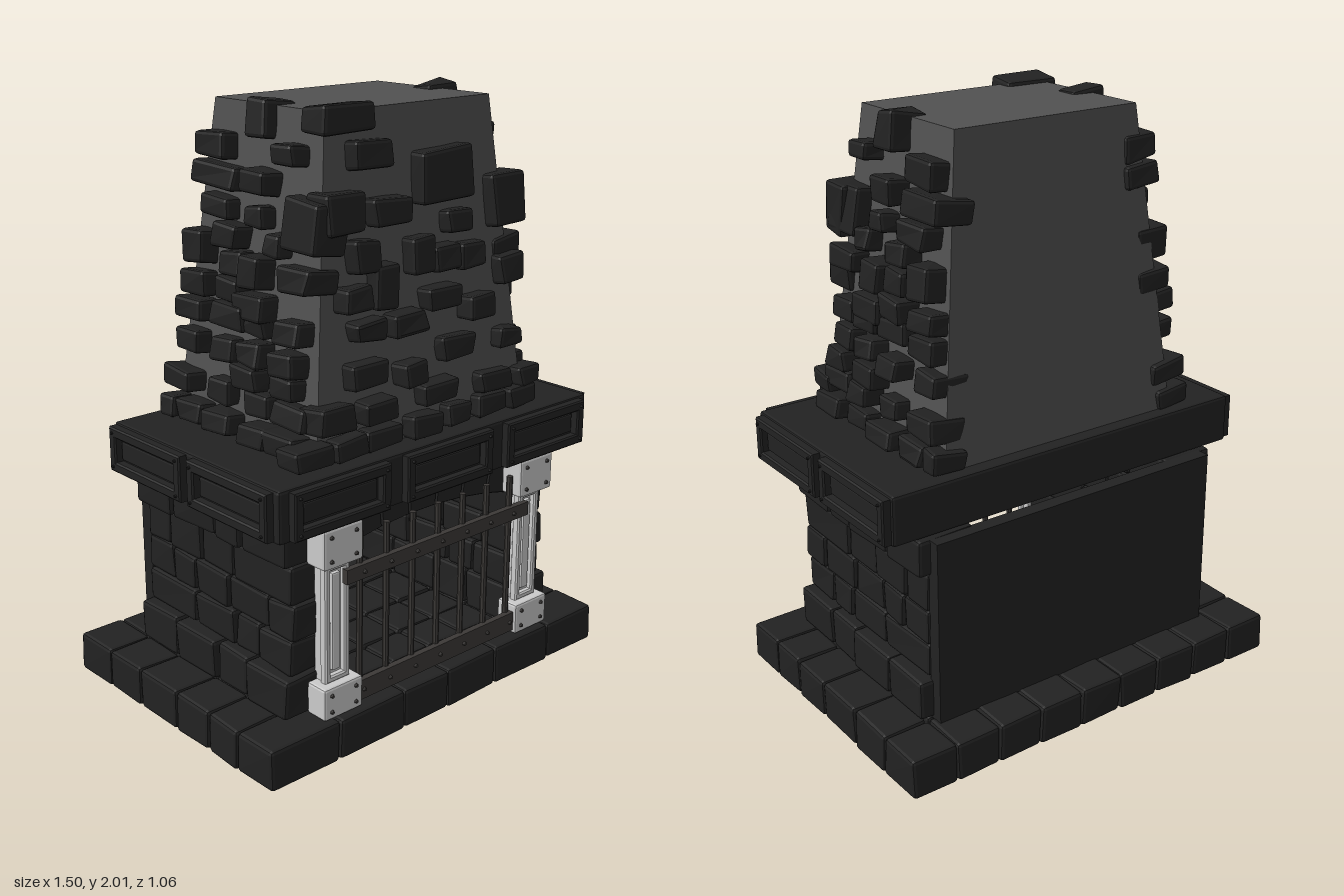
import * as THREE from 'three';
import { RoundedBoxGeometry } from 'three/addons/geometries/RoundedBoxGeometry.js';

const paint = (color) => new THREE.MeshStandardMaterial({ color, flatShading: true });
const stoneMat = paint(0x222222), coreMat = paint(0x515151), ironMat = paint(0x3c3937), steelMat = paint(0xcccccc);

let seed = 7;
const rand = () => (seed = (seed * 16807) % 2147483647) / 2147483647;
const jitter = (a) => (rand() - 0.5) * 2 * a;

function add(parent, name, geo, mat, x = 0, y = 0, z = 0) {
  const mesh = new THREE.Mesh(geo, mat);
  mesh.name = name;
  mesh.position.set(x, y, z);
  parent.add(mesh);
  return mesh;
}

function group(parent, name) {
  const g = new THREE.Group();
  g.name = name;
  parent.add(g);
  return g;
}

// Chamfered block whose eight corners are each nudged a little
function stoneGeo(w, h, d, wobble = 0.006, r = 0.012) {
  const geo = new RoundedBoxGeometry(w, h, d, 1, r);
  const nudge = Array.from({ length: 8 }, () => [jitter(wobble), jitter(wobble), jitter(wobble)]);
  const p = geo.attributes.position;
  for (let i = 0; i < p.count; i++) {
    const n = nudge[(p.getX(i) > 0 ? 1 : 0) + (p.getY(i) > 0 ? 2 : 0) + (p.getZ(i) > 0 ? 4 : 0)];
    p.setXYZ(i, p.getX(i) + n[0], p.getY(i) + n[1], p.getZ(i) + n[2]);
  }
  geo.computeVertexNormals();
  return geo;
}

// Stone filling the space between two corners, with a narrow joint
function stoneBetween(parent, name, x0, x1, y0, y1, z0, z1, wobble = 0.003) {
  const g = 0.003;
  add(parent, name, stoneGeo(x1 - x0 - g, y1 - y0 - g, z1 - z0 - g, wobble),
    stoneMat, (x0 + x1) / 2, (y0 + y1) / 2, (z0 + z1) / 2);
}

// Rectangular frame facing +z
function frameGeo(w, h, border, depth) {
  const rect = (s, a, b) => s.moveTo(-a, -b).lineTo(a, -b).lineTo(a, b).lineTo(-a, b).closePath();
  const shape = rect(new THREE.Shape(), w / 2, h / 2);
  shape.holes.push(rect(new THREE.Path(), w / 2 - border, h / 2 - border));
  const bevel = 0.005;
  return new THREE.ExtrudeGeometry(shape, { depth: depth - bevel, bevelThickness: bevel, bevelSize: bevel, bevelOffset: -bevel, bevelSegments: 1 });
}

function rivet(parent, x, y, z, mat, r = 0.008) {
  add(parent, 'rivet', new THREE.CylinderGeometry(r * 0.6, r, 0.01, 8).rotateX(Math.PI / 2), mat, x, y, z);
}

function buildBase(parent) {
  const base = group(parent, 'hearthBase');
  const zs = [-0.527, -0.35, -0.17, 0.03, 0.2, 0.35, 0.52];
  const frontXs = [-0.75, -0.47, -0.19, 0.01, 0.24, 0.51, 0.75];
  for (let r = 0; r < 6; r++) {
    const xs = r === 5 ? frontXs : Array.from({ length: 10 }, (_, i) => -0.75 + i / 6);
    for (let i = 0; i < xs.length - 1; i++)
      stoneBetween(base, 'baseStone', xs[i], xs[i + 1], 0, 0.14, zs[r], zs[r + 1]);
  }
}

function buildFirebox(parent) {
  const box = group(parent, 'firebox');
  const ys = [0.14, 0.28, 0.4, 0.52, 0.65, 0.78];
  const joints = [
    [0.42, 0.215, 0.06, -0.16, -0.36], [0.41, 0.245, 0.12, -0.085, -0.35],
    [0.42, 0.29, 0.095, -0.08, -0.205, -0.35], [0.41, 0.12, -0.045, -0.22, -0.35],
    [0.42, 0.2, 0.07, -0.16, -0.36],
  ];
  // Side walls in staggered courses
  for (const s of [-1, 1]) joints.forEach((zs, row) => {
    for (let i = 0; i < zs.length - 1; i++) {
      const outer = (row === 0 || row === 4 ? 0.605 : 0.572) + jitter(0.006), xs = [s * 0.4, s * outer];
      stoneBetween(box, 'wallStone', Math.min(...xs), Math.max(...xs), ys[row], ys[row + 1], zs[i + 1] + 0.002, zs[i] - 0.002, 0.004);
    }
  });
  add(box, 'backWall', new THREE.BoxGeometry(1.12, 0.64, 0.05), stoneMat, 0, 0.455, -0.37);
  // Shallow arch of wedge stones over the opening
  const arc = (x) => 0.68 - 0.3 * x * x;
  for (let i = 0; i < 7; i++) {
    const a = -0.42 + i * 0.12, b = a + 0.117;
    const shape = new THREE.Shape().moveTo(a, arc(a)).lineTo(b, arc(b)).lineTo(b * 1.08, 0.78).lineTo(a * 1.08, 0.78).closePath();
    add(box, 'archStone', new THREE.ExtrudeGeometry(shape, { depth: 0.1, bevelSize: 0.004, bevelOffset: -0.004, bevelThickness: 0.006, bevelSegments: 1 }), stoneMat, 0, 0, 0.29);
  }
}

function buildColumns(parent) {
  for (const s of [-1, 1]) {
    const col = group(parent, s > 0 ? 'leftColumn' : 'rightColumn');
    col.position.x = s * 0.438;
    add(col, 'shaft', new THREE.BoxGeometry(0.085, 0.42, 0.04), steelMat, 0, 0.45, 0.43);
    add(col, 'shaftFrame', frameGeo(0.1, 0.4, 0.022, 0.025), steelMat, 0, 0.45, 0.445);
    add(col, 'shaftRib', new RoundedBoxGeometry(0.034, 0.33, 0.02, 1, 0.005), steelMat, 0, 0.45, 0.453);
    for (const [y, h] of [[0.715, 0.13], [0.197, 0.108]]) {
      add(col, 'columnCap', new RoundedBoxGeometry(0.158, h, 0.085, 1, 0.008), steelMat, 0, y, 0.455);
      for (const dx of [-0.05, 0.05]) for (const dy of [-1, 1])
        rivet(col, dx, y + dy * (h / 2 - 0.026), 0.5, ironMat);
    }
  }
}

function buildGrate(parent) {
  const grate = group(parent, 'fireGrate');
  for (let i = -3; i <= 3; i++) {
    const x = i * 0.114;
    add(grate, 'grateBar', new THREE.CylinderGeometry(0.011, 0.011, 0.57, 8), ironMat, x, 0.44, 0.462);
    rivet(grate, x, 0.597, 0.489, ironMat);
    rivet(grate, x, 0.19, 0.489, ironMat);
  }
  add(grate, 'upperRail', new THREE.BoxGeometry(0.83, 0.048, 0.022), ironMat, 0, 0.597, 0.475);
  add(grate, 'lowerRail', new THREE.BoxGeometry(0.74, 0.068, 0.022), ironMat, 0, 0.19, 0.475);
}

function buildMantel(parent) {
  const mantel = group(parent, 'mantel');
  add(mantel, 'mantelSlab', new RoundedBoxGeometry(1.37, 0.168, 0.84, 1, 0.01), stoneMat, 0, 0.866, 0.073);
  const panel = (w, x, z, turn) => {
    const g = group(mantel, 'mantelPanel');
    g.position.set(x, 0.866, z);
    g.rotation.y = turn;
    add(g, 'panelFrame', frameGeo(w, 0.152, 0.034, 0.032), stoneMat);
    add(g, 'panelField', new RoundedBoxGeometry(w - 0.09, 0.066, 0.03, 1, 0.006), stoneMat);
    for (const dx of [-1, 1]) for (const dy of [-1, 1])
      rivet(g, dx * (w / 2 - 0.02), dy * 0.058, 0.034, stoneMat, 0.006);
  };
  for (const x of [-0.455, 0, 0.455]) panel(0.385, x, 0.49, 0);
  for (const s of [-1, 1]) for (const z of [-0.145, 0.275]) panel(0.385, s * 0.683, z, s * Math.PI / 2);
}

// Stones on the chimney: [across, height, width, tall]
const frontStones = [
  [[-0.29, 1.957, 0.2, 0.085], [-0.205, 1.845, 0.145, 0.085], [0.1, 1.755, 0.22, 0.165], [-0.33, 1.69, 0.15, 0.12]],
  [[-0.14, 1.67, 0.145, 0.085], [0.38, 1.645, 0.15, 0.17], [0.155, 1.605, 0.11, 0.075], [-0.02, 1.525, 0.09, 0.12]],
  [[0.09, 1.5, 0.11, 0.08], [0.215, 1.49, 0.1, 0.085], [-0.245, 1.55, 0.105, 0.1], [-0.3, 1.43, 0.11, 0.08]],
  [[-0.175, 1.45, 0.09, 0.14], [0.065, 1.38, 0.145, 0.07], [0.385, 1.42, 0.1, 0.1], [-0.25, 1.33, 0.12, 0.065]],
  [[-0.095, 1.325, 0.14, 0.08], [0.225, 1.325, 0.115, 0.08], [-0.265, 1.195, 0.14, 0.08], [-0.08, 1.165, 0.105, 0.075]],
  [[0.13, 1.205, 0.14, 0.08], [0.37, 1.195, 0.1, 0.065], [-0.415, 1.085, 0.14, 0.085], [-0.23, 1.08, 0.13, 0.075]],
  [[0.035, 1.08, 0.15, 0.075], [0.3, 1.06, 0.15, 0.075], [0.455, 1.05, 0.1, 0.06]],
].flat();
const sideStones = [
  [[0.065, 1.937, 0.09, 0.12], [0.215, 1.85, 0.1, 0.06], [-0.125, 1.84, 0.15, 0.085], [0.065, 1.755, 0.11, 0.08]],
  [[-0.155, 1.745, 0.21, 0.075], [-0.12, 1.655, 0.14, 0.07], [0.09, 1.65, 0.08, 0.065], [0.3, 1.65, 0.16, 0.16]],
  [[0.18, 1.575, 0.08, 0.075], [-0.03, 1.575, 0.11, 0.075], [0.29, 1.49, 0.15, 0.075], [0.09, 1.48, 0.1, 0.1]],
  [[-0.03, 1.49, 0.11, 0.08], [-0.17, 1.52, 0.11, 0.11], [0.115, 1.375, 0.15, 0.08], [-0.03, 1.405, 0.11, 0.08]],
  [[-0.185, 1.4, 0.13, 0.075], [0.265, 1.33, 0.12, 0.075], [0.12, 1.32, 0.13, 0.065], [-0.02, 1.33, 0.16, 0.075]],
  [[-0.19, 1.32, 0.13, 0.075], [0.26, 1.235, 0.12, 0.075], [0.12, 1.235, 0.11, 0.075], [-0.03, 1.215, 0.11, 0.075]],
  [[-0.215, 1.215, 0.11, 0.075], [0.115, 1.15, 0.13, 0.075], [0.28, 1.16, 0.11, 0.07], [-0.03, 1.08, 0.1, 0.075]],
  [[0.295, 1.08, 0.15, 0.075], [0.13, 1.08, 0.11, 0.075], [-0.22, 1.08, 0.14, 0.075]],
].flat();

function buildChimney(parent) {
  const chimney = group(parent, 'chimney');
  const y0 = 0.94, y1 = 1.98;
  const at = (y, low, high) => THREE.MathUtils.mapLinear(y, y0, y1, low, high);
  const sideX = (y) => at(y, 0.46, 0.347), frontZ = (y) => at(y, 0.4, 0.31), backZ = (y) => at(y, -0.298, -0.205);
  // Tapered core
  const core = new THREE.BoxGeometry(1, 1, 1), p = core.attributes.position;
  for (let i = 0; i < p.count; i++) {
    const y = p.getY(i) > 0 ? y1 : y0;
    p.setXYZ(i, Math.sign(p.getX(i)) * sideX(y), y, p.getZ(i) > 0 ? frontZ(y) : backZ(y));
  }
  add(chimney, 'chimneyCore', core, coreMat);
  // Course of stones along the foot
  const footFront = [[-0.5, 0.15], [-0.355, 0.13], [-0.215, 0.15], [-0.035, 0.125], [0.115, 0.1], [0.275, 0.13], [0.42, 0.12]];
  const footSide = [[0.31, 0.15], [0.155, 0.13], [-0.01, 0.14], [-0.18, 0.13], [-0.28, 0.07]];
  const foot = (list) => list.map(([a, w]) => [a, 0.988, w, 0.07]);
  for (const [x, y, w, h] of [...frontStones, ...foot(footFront)]) {
    const m = add(chimney, 'frontStone', stoneGeo(w, h, 0.11), stoneMat, x, y, frontZ(y) + jitter(0.012));
    m.rotation.set(-0.07, 0, jitter(0.03));
  }
  for (const s of [-1, 1]) for (const [z, y, w, h] of [...sideStones, ...foot(footSide)]) {
    const m = add(chimney, 'sideStone', stoneGeo(0.13, h, w), stoneMat, s * (sideX(y) + jitter(0.015)), y, z + (s < 0 ? jitter(0.03) : 0));
    m.rotation.set(jitter(0.03), 0, s * 0.1);
  }
}

export function createModel() {
  seed = 7;
  const model = new THREE.Group();
  model.name = 'fireplace';
  [buildBase, buildFirebox, buildColumns, buildGrate, buildMantel, buildChimney].forEach((build) => build(model));
  return model;
}
